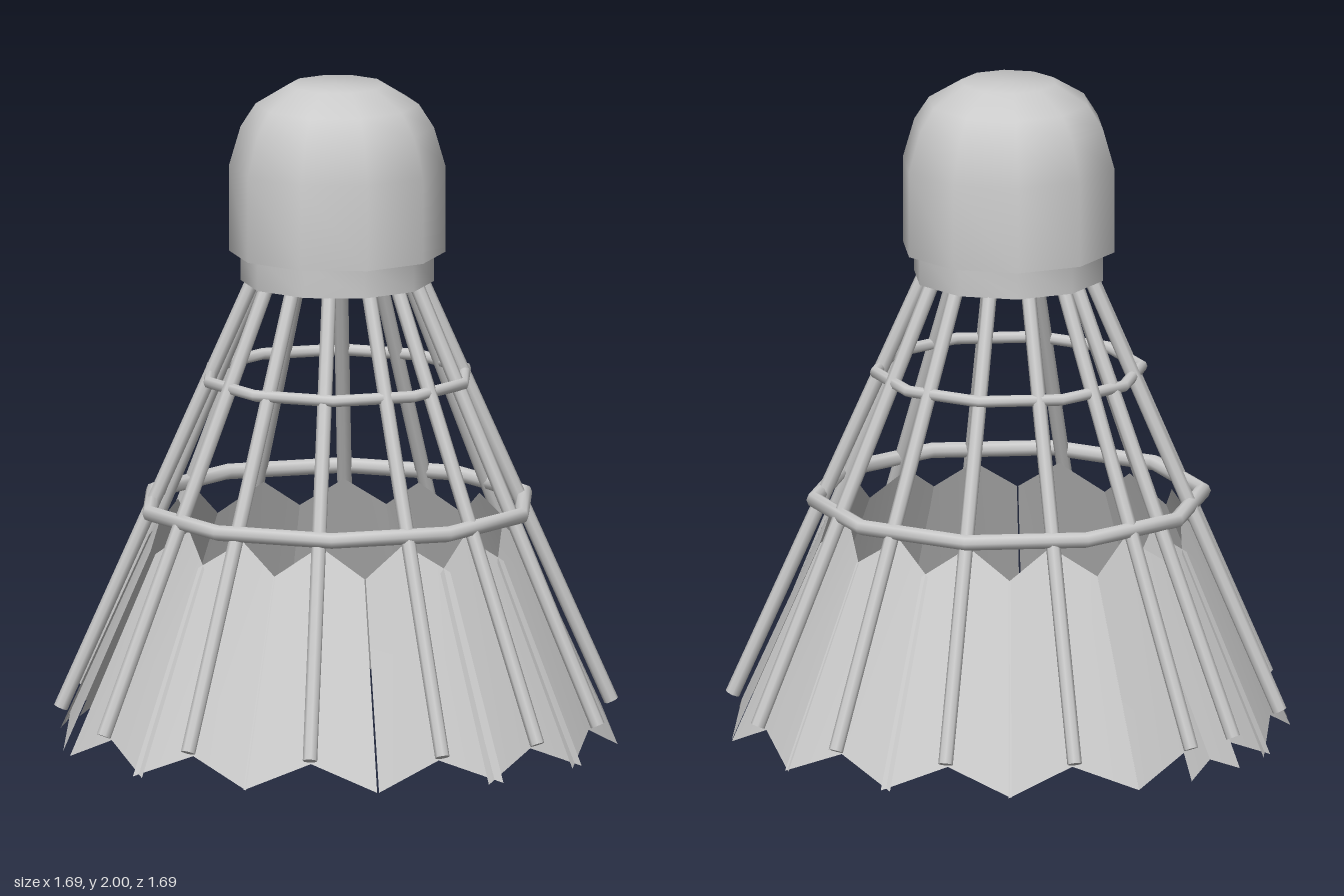
import * as THREE from 'three';
import { toCreasedNormals } from 'three/addons/utils/BufferGeometryUtils.js';

// Slightly uneven quill directions, in degrees clockwise from the back
const QUILL_ANGLES = [0, 27.5, 54.5, 80, 106.5, 134.5, 162, 186, 210, 238, 265, 290, 322.7, 347];
const FEATHER_HALF_ANGLE = 13.8;

const solid = new THREE.MeshStandardMaterial({ color: 0xcccccc });
const thin = new THREE.MeshStandardMaterial({ color: 0xcccccc, side: THREE.DoubleSide });

// Point at a compass angle, radius and height
function polar(degrees, radius, y) {
  const a = THREE.MathUtils.degToRad(degrees);
  return new THREE.Vector3(Math.sin(a) * radius, y, -Math.cos(a) * radius);
}

function addMesh(group, name, geometry, material = solid) {
  const mesh = new THREE.Mesh(geometry, material);
  mesh.name = name;
  group.add(mesh);
  return mesh;
}

function lathe(points) {
  const profile = points.map(([r, y]) => new THREE.Vector2(r, y));
  return toCreasedNormals(new THREE.LatheGeometry(profile, 10), 0.75);
}

// Straight quill between two points
function quillGeometry(from, to, radius) {
  const dir = to.clone().sub(from);
  const geometry = new THREE.CylinderGeometry(radius, radius, dir.length(), 8);
  geometry.applyQuaternion(new THREE.Quaternion().setFromUnitVectors(
    new THREE.Vector3(0, 1, 0), dir.normalize()));
  const mid = from.clone().add(to).multiplyScalar(0.5);
  return geometry.translate(mid.x, mid.y, mid.z);
}

// Chevron vane: high along the quill, low at both side seams
function featherGeometry(angle) {
  const columns = [
    { offset: -1, top: [0.575, 0.6], bottom: [0.845, 0] },
    { offset: 0, top: [0.525, 0.69], bottom: [0.8, 0.08] },
    { offset: 1, top: [0.575, 0.6], bottom: [0.845, 0] },
  ];
  const positions = [];
  for (const { offset, top, bottom } of columns) {
    const a = angle + offset * FEATHER_HALF_ANGLE;
    positions.push(...polar(a, ...bottom).toArray(), ...polar(a, ...top).toArray());
  }
  const index = [];
  for (let i = 0; i < columns.length - 1; i++) {
    const b = i * 2;
    index.push(b, b + 1, b + 2, b + 2, b + 1, b + 3);
  }
  const geometry = new THREE.BufferGeometry();
  geometry.setAttribute('position', new THREE.Float32BufferAttribute(positions, 3));
  geometry.setIndex(index);
  geometry.computeVertexNormals();
  return geometry;
}

export function createModel() {
  const model = new THREE.Group();
  model.name = 'shuttlecock';

  // Rounded ten-sided cork and the narrower collar under it
  addMesh(model, 'cork', lathe([
    [0, 1.49], [0.325, 1.49], [0.325, 1.75], [0.29, 1.87], [0.245, 1.94], [0.145, 2], [0, 2],
  ]));
  addMesh(model, 'collar', lathe([[0, 1.4], [0.29, 1.4], [0.29, 1.5]]));

  // Quills, each carrying one feather vane
  const quills = new THREE.Group();
  quills.name = 'quills';
  const skirt = new THREE.Group();
  skirt.name = 'featherSkirt';
  for (const angle of QUILL_ANGLES) {
    addMesh(quills, 'quill', quillGeometry(polar(angle, 0.829, 0.095), polar(angle, 0.24, 1.43), 0.022));
    addMesh(skirt, 'feather', featherGeometry(angle), thin);
  }
  model.add(quills, skirt);

  // Ten-sided binding rings
  for (const [name, radius, tube, y] of [
    ['upperRing', 0.4, 0.018, 1.11],
    ['lowerRing', 0.585, 0.024, 0.72],
  ]) {
    const ring = addMesh(model, name, new THREE.TorusGeometry(radius, tube, 8, 10));
    ring.rotation.x = Math.PI / 2;
    ring.position.y = y;
  }
  return model;
}
